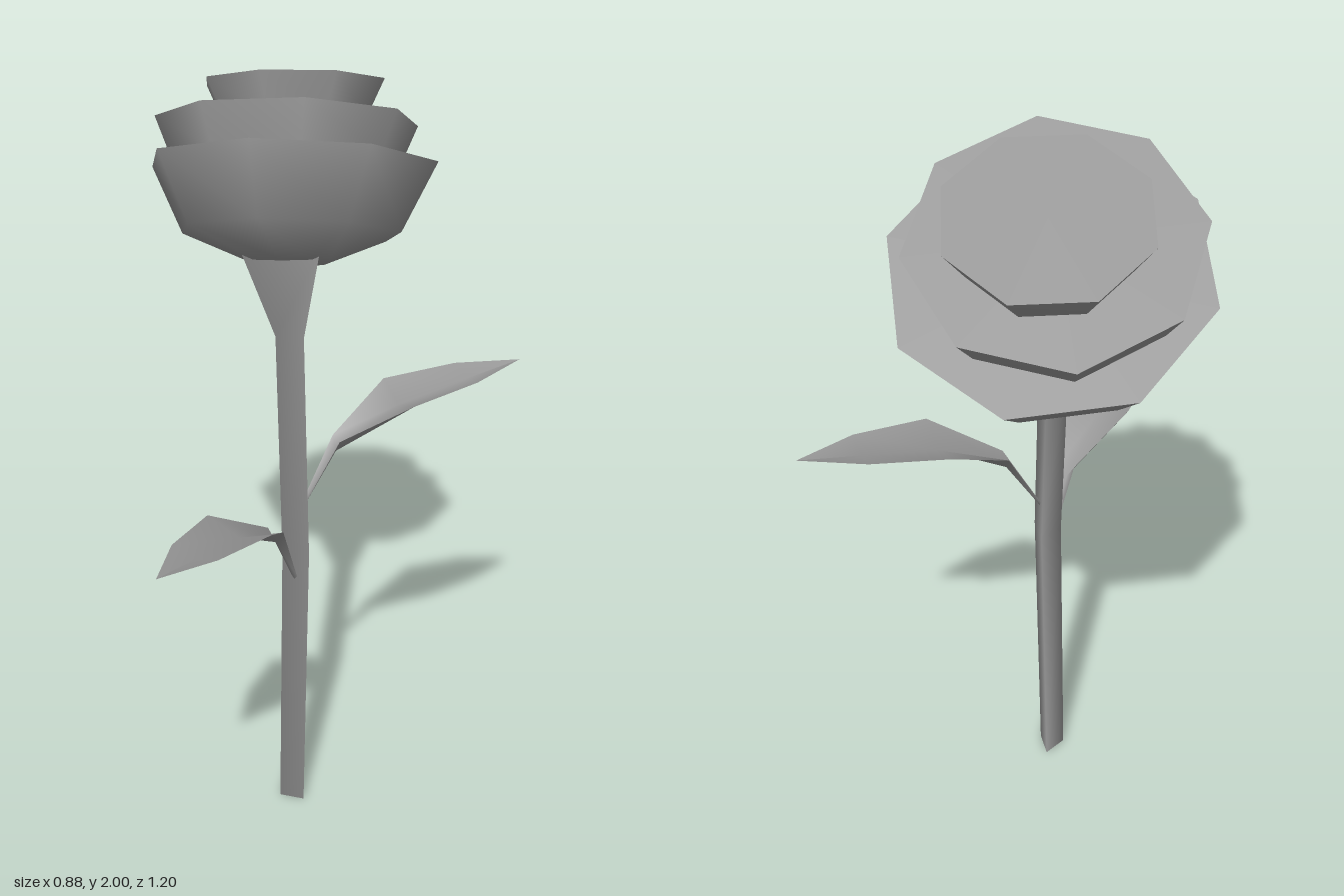
import * as THREE from 'three';

const grey = new THREE.MeshStandardMaterial({ color: 0x979797, side: THREE.DoubleSide });
const bloomAxis = new THREE.Vector3(-0.21, 0.89, -0.4).normalize();

function addMesh(parent, name, geometry) {
  const mesh = new THREE.Mesh(geometry, grey);
  mesh.name = name;
  parent.add(mesh);
  return mesh;
}

// Three-sided bent stem that flares into the calyx: rows of [x, y, z, radius, tilt towards the bloom axis]
function stemGeometry() {
  const rows = [
    [0.068, 0, -0.037, 0.039, 0],
    [0.07, 0.8, -0.04, 0.041, 0.2],
    [0.0, 1.355, -0.12, 0.042, 0.5],
    [-0.052, 1.54, -0.178, 0.115, 1],
  ];
  const up = new THREE.Vector3(0, 1, 0);
  const geometry = new THREE.CylinderGeometry(1, 1, 1, 3, rows.length - 1, false, -Math.PI / 4);
  const { position, normal } = geometry.attributes;
  const v = new THREE.Vector3();
  for (let i = 0; i < position.count; i++) {
    const [x, y, z, r, tilt] = rows[Math.round((position.getY(i) + 0.5) * (rows.length - 1))];
    const axis = up.clone().lerp(bloomAxis, tilt).normalize();
    const bend = new THREE.Quaternion().setFromUnitVectors(up, axis);
    v.set(position.getX(i) * r, 0, position.getZ(i) * r).applyQuaternion(bend);
    position.setXYZ(i, x + v.x, y + v.y, z + v.z);
    v.fromBufferAttribute(normal, i).applyQuaternion(bend);
    normal.setXYZ(i, v.x, v.y, v.z);
  }
  return geometry;
}

// Folded leaf growing along +z: rows of [z, half width, edge height, midrib height]
function leafGeometry() {
  const rows = [
    [0, 0.008, 0.01, 0],
    [0.095, 0.022, 0.195, 0.16],
    [0.265, 0.09, 0.295, 0.26],
    [0.455, 0.064, 0.318, 0.3],
    [0.61, 0, 0.33, 0.33],
  ];
  const positions = [], index = [];
  rows.forEach(([z, w, edge, mid], i) => {
    positions.push(-w, edge, z, 0, mid, z, w, edge, z);
    if (i === rows.length - 1) return;
    for (let k = 0; k < 2; k++) {
      const a = i * 3 + k, b = a + 3;
      index.push(a, b, a + 1, a + 1, b, b + 1);
    }
  });
  const geometry = new THREE.BufferGeometry();
  geometry.setAttribute('position', new THREE.Float32BufferAttribute(positions, 3));
  geometry.setIndex(index);
  geometry.computeVertexNormals();
  return geometry;
}

// One eight-sided petal cup with its flat top at local y = 0; profile rows are [radius, y] up to the rim
function petalCup(name, profile, turn) {
  const cup = new THREE.Group();
  cup.name = name;
  const points = profile.map(([r, y]) => new THREE.Vector2(r, y));
  addMesh(cup, 'cupWall', new THREE.LatheGeometry(points, 8, turn));
  const rimRadius = profile[profile.length - 1][0];
  const top = addMesh(cup, 'cupTop', new THREE.CircleGeometry(rimRadius, 8, turn));
  top.rotation.x = -Math.PI / 2;
  return cup;
}

export function createModel() {
  const model = new THREE.Group();
  model.name = 'flower';

  addMesh(model, 'stem', stemGeometry());

  // Leaves: one to the front, one to the back left
  const leaf = leafGeometry();
  addMesh(model, 'frontLeaf', leaf).position.set(0.078, 0.73, -0.01);
  const backLeaf = addMesh(model, 'backLeaf', leaf);
  backLeaf.position.set(0.06, 0.895, -0.07);
  backLeaf.rotation.y = Math.atan2(0.61, -0.795);

  // Tilted bloom of three nested cups, the inner ones a little more upright
  const bloom = new THREE.Group();
  bloom.name = 'bloom';
  const outer = petalCup('outerPetals', [[0, -0.245], [0.1, -0.24], [0.28, -0.168], [0.365, 0]], 0);
  const middle = petalCup('middlePetals', [[0.245, -0.16], [0.283, -0.1], [0.325, 0]], -Math.PI / 8);
  middle.position.set(-0.01, 0.103, 0.015);
  middle.rotation.x = 0.02;
  const inner = petalCup('innerPetals', [[0.16, -0.14], [0.188, -0.09], [0.232, 0]], -0.08);
  inner.position.y = 0.2;
  inner.rotation.x = 0.08;
  bloom.add(outer, middle, inner);

  const front = new THREE.Vector3(0.2, 0.444, 0.874);
  const side = new THREE.Vector3().crossVectors(bloomAxis, front).normalize();
  front.crossVectors(side, bloomAxis);
  bloom.quaternion.setFromRotationMatrix(new THREE.Matrix4().makeBasis(side, bloomAxis, front));
  bloom.position.set(-0.095, 1.735, -0.275);
  model.add(bloom);

  return model;
}
